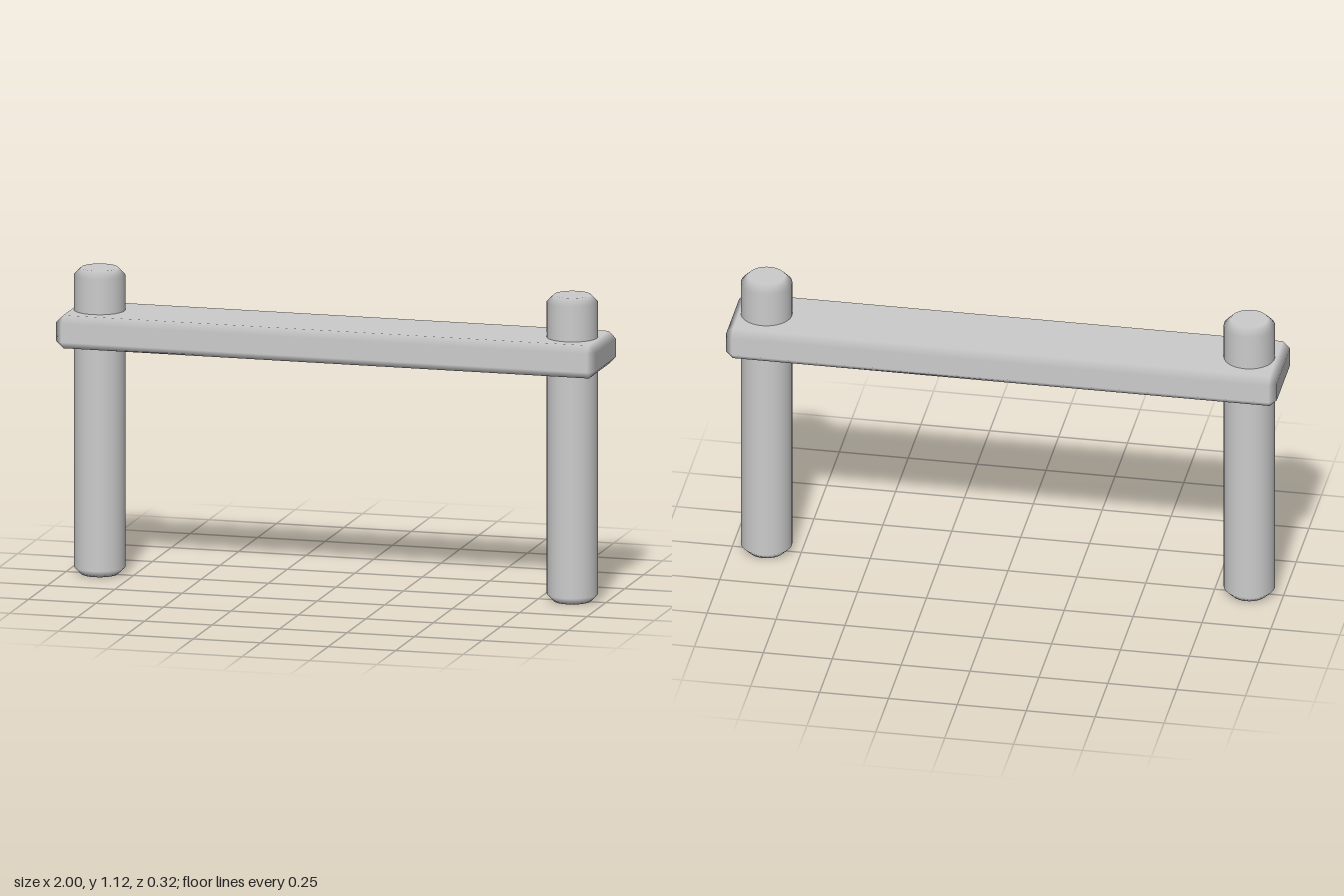
import * as THREE from 'three';
import { ConvexGeometry } from 'three/addons/geometries/ConvexGeometry.js';

const BEVEL = 0.026;

// Overwrite normals vertex by vertex, so flat areas stay flat and bevels blend between them
function setNormals(geometry, rule) {
  const p = geometry.attributes.position, n = geometry.attributes.normal;
  const v = new THREE.Vector3();
  for (let i = 0; i < p.count; i++) {
    rule(v.fromBufferAttribute(p, i));
    v.normalize();
    n.setXYZ(i, v.x, v.y, v.z);
  }
  return geometry;
}

// Box with a single softened chamfer along every edge
function bevelledBox(w, h, d, c) {
  const half = [w / 2, h / 2, d / 2];
  const points = [];
  for (const sx of [-1, 1]) for (const sy of [-1, 1]) for (const sz of [-1, 1]) {
    for (let face = 0; face < 3; face++) {
      const q = half.map((s, axis) => (axis === face ? s : s - c));
      points.push(new THREE.Vector3(sx * q[0], sy * q[1], sz * q[2]));
    }
  }
  return setNormals(new ConvexGeometry(points), (v) => {
    const q = v.toArray();
    v.fromArray(q.map((s, axis) => (Math.abs(s) > half[axis] - c / 2 ? Math.sign(s) : 0)));
  });
}

// Round post standing on y = 0 with chamfered ends
function bevelledPost(r, h, c) {
  const profile = [[0, 0], [r - c, 0], [r, c], [r, h - c], [r - c, h], [0, h]]
    .map(([x, y]) => new THREE.Vector2(x, y));
  return setNormals(new THREE.LatheGeometry(profile, 32), (v) => {
    if (v.y < c / 2) v.set(0, -1, 0);
    else if (v.y > h - c / 2) v.set(0, 1, 0);
    else v.y = 0;
  });
}

export function createModel() {
  const model = new THREE.Group();
  const material = new THREE.MeshStandardMaterial({ color: 0xcccccc });

  // Horizontal plank
  const plank = new THREE.Mesh(bevelledBox(2, 0.12, 0.316, BEVEL), material);
  plank.name = 'plank';
  plank.position.y = 0.903;
  model.add(plank);

  // Posts passing through the plank near each end
  const postGeometry = bevelledPost(0.092, 1.117, BEVEL);
  for (const side of [1, -1]) {
    const post = new THREE.Mesh(postGeometry, material);
    post.name = side > 0 ? 'leftPost' : 'rightPost';
    post.position.x = side * 0.876;
    model.add(post);
  }
  return model;
}
